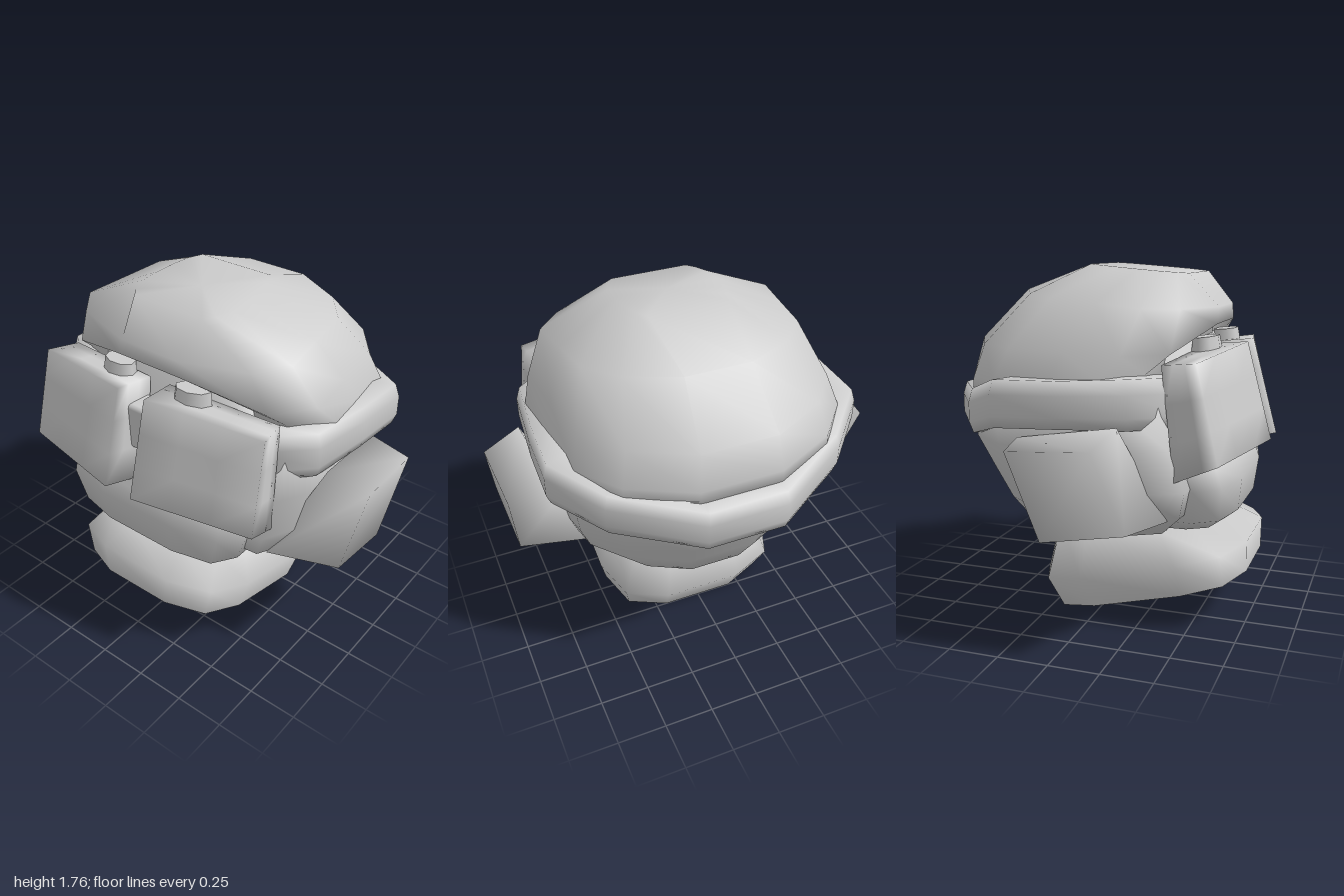
import * as THREE from 'three';
import { mergeVertices } from 'three/addons/utils/BufferGeometryUtils.js';
import { RoundedBoxGeometry } from 'three/addons/geometries/RoundedBoxGeometry.js';

const material = new THREE.MeshStandardMaterial({ color: 0xcccccc });
const openMaterial = new THREE.MeshStandardMaterial({ color: 0xcccccc, side: THREE.DoubleSide });

// Half outlines seen from above, front to back: x as a share of half width, z from 1 (front) to -1 (back)
const CROWN = [[0.75, 1], [0.88, 0.8], [1, 0.5], [1, 0.05], [0.95, -0.42], [0.88, -0.75], [0.75, -1]];
const HEAD = [[0.26, 1], [0.8, 0.8], [1, 0.5], [0.95, 0.05], [0.9, -0.42], [0.68, -0.75], [0.27, -1]];
const HOOD = [[0.3, 1], [0.86, 0.94], [1, 0.6], [0.98, 0.05], [0.9, -0.42], [0.68, -0.75], [0.27, -1]];
const OVAL = [[0.42, 1], [0.85, 0.84], [1, 0.45], [1, -0.45], [0.85, -0.84], [0.42, -1]];

// Completes a half ring with its mirror image
const mirrored = half => [...half, ...half.slice().reverse().map(([x, y, z]) => [-x, y, z])];

// Ring from an outline: half width, front (z, y) and back (z, y), extra height of the front edge
function ring(outline, w, zf, yf, zb, yb, arch = 0) {
  return mirrored(outline.map(([x, t]) => {
    const k = (t + 1) / 2;
    return [x * w, yb + (yf - yb) * k + (t === 1 ? arch : 0), zb + (zf - zb) * k];
  }));
}

// Skin over closed rings listed from top to bottom, with optional end caps
function loft(rings, capTop, capBottom) {
  const n = rings[0].length;
  const points = rings.flat();
  const index = [];
  for (let i = 0; i < rings.length - 1; i++) {
    for (let j = 0; j < n; j++) {
      const a = i * n + j, b = i * n + (j + 1) % n;
      index.push(a, a + n, b + n, a, b + n, b);
    }
  }
  const cap = (row, flip) => {
    const mid = [0, 1, 2].map(k => rings[row].reduce((s, p) => s + p[k], 0) / n);
    const m = points.push(mid) - 1;
    for (let j = 0; j < n; j++) {
      const a = row * n + j, b = row * n + (j + 1) % n;
      index.push(m, ...(flip ? [b, a] : [a, b]));
    }
  };
  if (capTop) cap(0, false);
  if (capBottom) cap(rings.length - 1, true);
  const g = new THREE.BufferGeometry();
  g.setAttribute('position', new THREE.Float32BufferAttribute(points.flat(), 3));
  g.setIndex(index);
  g.computeVertexNormals();
  return g;
}

// Smoothly shaded block stretched between eight corners, ordered
// inner then outer, bottom then top, back then front
function block(corners, side, segments) {
  const box = new THREE.BoxGeometry(2, 2, 2, segments, segments, segments);
  box.deleteAttribute('normal');
  box.deleteAttribute('uv');
  const g = mergeVertices(box, 1e-4);
  const p = g.attributes.position;
  for (let i = 0; i < p.count; i++) {
    const u = [p.getX(i) * side, p.getY(i), p.getZ(i)];
    const out = [0, 0, 0];
    corners.forEach((c, n) => {
      const weight = [4, 2, 1].reduce((s, bit, k) => s * (1 + (n & bit ? u[k] : -u[k])) / 2, 1);
      c.forEach((v, k) => { out[k] += v * weight; });
    });
    p.setXYZ(i, out[0] * side, out[1], out[2]);
  }
  g.computeVertexNormals();
  return g;
}

export function createModel() {
  const model = new THREE.Group();
  const add = (name, geometry, mat = material) => {
    const mesh = new THREE.Mesh(geometry, mat);
    mesh.name = name;
    model.add(mesh);
    return mesh;
  };

  // Domed cap whose brim arches over the brow
  add('cap', loft([
    ring(CROWN, 0.27, 0.42, 1.72, -0.08, 1.76),
    ring(HEAD, 0.62, 0.56, 1.56, -0.44, 1.63),
    ring(HEAD, 0.72, 0.56, 1.37, -0.69, 1.38, 0.11),
    ring(HEAD, 0.77, 0.45, 1.29, -0.73, 1.2, 0.15),
    ring(HEAD, 0.77, 0.42, 1.12, -0.73, 1.1),
  ], true, true));

  // Hood around the lower head
  add('hood', loft([
    ring(HOOD, 0.77, 0.43, 1.2, -0.73, 1.15),
    ring(HOOD, 0.77, 0.49, 0.95, -0.72, 0.92),
    ring(HOOD, 0.73, 0.56, 0.75, -0.63, 0.75),
    ring(HOOD, 0.67, 0.52, 0.61, -0.55, 0.6),
    ring(HOOD, 0.5, 0.39, 0.48, -0.47, 0.455),
    ring(HOOD, 0.35, 0.25, 0.44, -0.3, 0.44),
  ], true, true));

  // Face and chin
  add('face', loft([
    ring(OVAL, 0.45, 0.46, 1.4, 0.1, 1.4),
    ring(OVAL, 0.48, 0.55, 1.05, 0.1, 1.05),
    ring(OVAL, 0.55, 0.68, 0.83, 0.1, 0.83),
    ring(OVAL, 0.55, 0.71, 0.74, 0.1, 0.72),
    ring(OVAL, 0.49, 0.69, 0.57, 0.1, 0.56),
    ring(OVAL, 0.38, 0.61, 0.5, 0.1, 0.49),
  ], true, true));

  // Collar, open underneath
  add('collar', loft([
    ring(OVAL, 0.4, 0.57, 0.49, -0.27, 0.45),
    ring(OVAL, 0.5, 0.74, 0.41, -0.33, 0.15),
    ring(OVAL, 0.46, 0.74, 0.25, -0.25, 0.0),
  ], true, false), openMaterial);

  // Strap: x, z, top and bottom height along its half path
  const path = [
    [0.55, 0.49, 1.27, 1.03], [0.77, 0.3, 1.28, 1.05], [0.8, -0.04, 1.26, 1.04],
    [0.81, -0.34, 1.255, 1.03], [0.6, -0.56, 1.17, 0.95], [0.2, -0.81, 1.135, 0.92],
  ];
  const section = [[0.85, 1], [0.99, 1], [1.015, 0.7], [1.015, 0.25], [0.99, 0], [0.85, 0]];
  add('strap', loft(section.map(([s, t]) =>
    mirrored(path.map(([x, z, top, bottom]) => [x * s, bottom + (top - bottom) * t, z * s]))
  )), openMaterial);

  // Bridge between the goggles
  add('goggleBridge', new RoundedBoxGeometry(0.22, 0.24, 0.14, 1, 0.02)).position.set(0, 1.16, 0.57);

  const goggle = [
    [0.05, 0.84, 0.55], [0.08, 0.91, 0.82], [0.06, 1.37, 0.49], [0.08, 1.39, 0.69],
    [0.65, 0.8, 0.48], [0.69, 0.9, 0.69], [0.63, 1.33, 0.41], [0.67, 1.35, 0.58],
  ];
  const earpiece = [
    [0.56, 0.5, -0.09], [0.6, 0.6, 0.44], [0.74, 0.98, -0.25], [0.8, 1.07, 0.26],
    [0.93, 0.55, -0.06], [0.95, 0.63, 0.35], [0.98, 0.97, -0.2], [1.0, 1.0, 0.21],
  ];
  for (const [side, label] of [[1, 'left'], [-1, 'right']]) {
    add(label + 'Goggle', block(goggle, side, 3));
    add(label + 'Earpiece', block(earpiece, side, 1));

    // Knob on top of the goggle
    const knob = add(label + 'Knob', new THREE.CylinderGeometry(0.09, 0.105, 0.12, 8));
    knob.scale.z = 0.7;
    knob.position.set(0.225 * side, 1.365, 0.52);
    knob.rotation.set(-0.1, 0.2 * side, 0);
  }
  return model;
}
